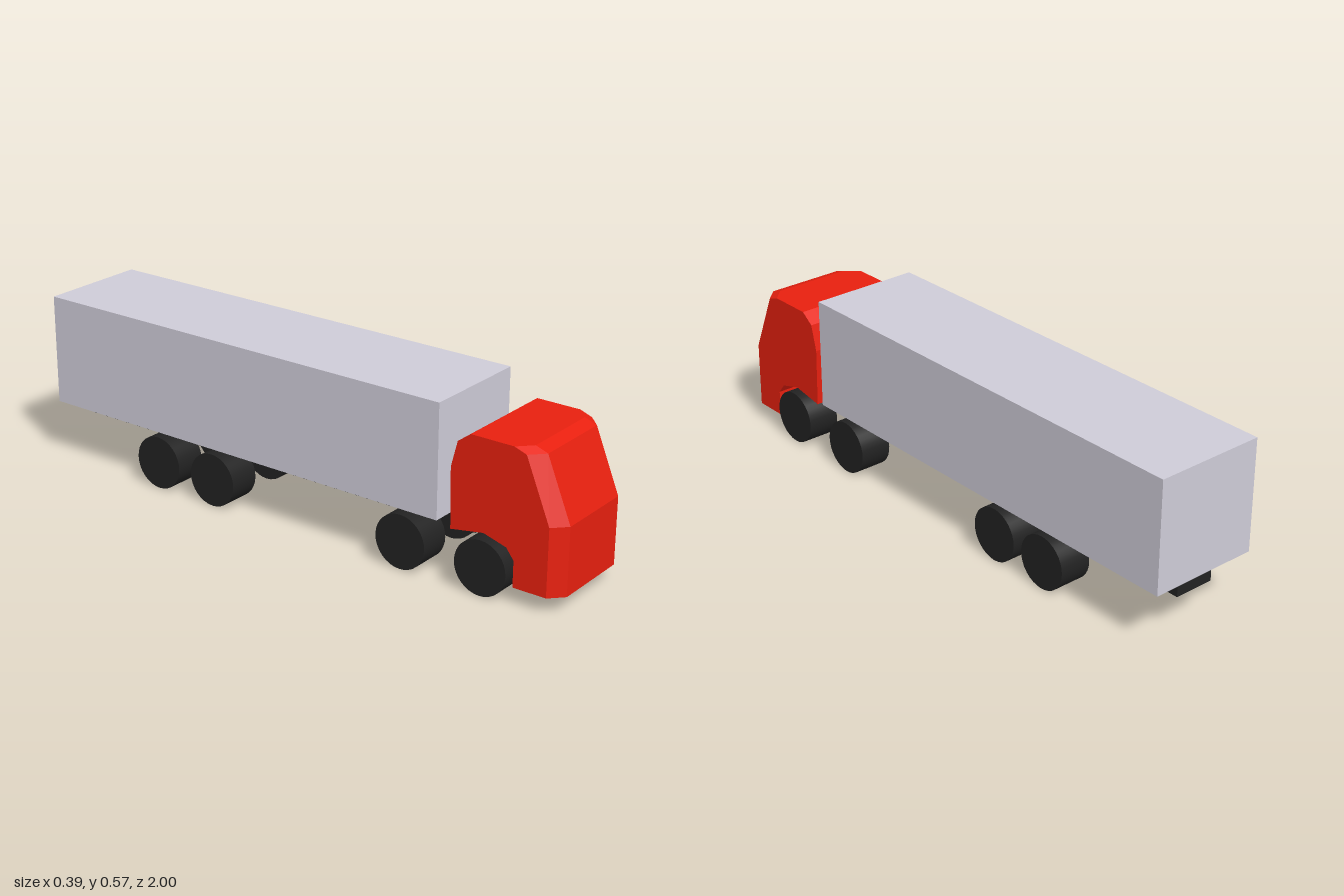
import * as THREE from 'three';

const material = (color) => new THREE.MeshStandardMaterial({ color });
const red = material(0xe8200f);
const grey = material(0xcfccd8);
const black = material(0x222222);

// Side profile of [z, y] points swept across the width; front faces +z
function sweep(points, width, steps = 1) {
  const shape = new THREE.Shape(points.map(([z, y]) => new THREE.Vector2(-z, y)));
  const geometry = new THREE.ExtrudeGeometry(shape, { depth: width, steps, bevelEnabled: false });
  return geometry.translate(0, 0, -width / 2).rotateY(Math.PI / 2);
}

function addMesh(parent, name, geometry, mat) {
  const mesh = new THREE.Mesh(geometry, mat);
  mesh.name = name;
  parent.add(mesh);
  return mesh;
}

function cabGeometry() {
  const geometry = sweep([
    [1, 0.055], [1, 0.28], [0.915, 0.485], [0.873, 0.5],
    [0.68, 0.5], [0.636, 0.467], [0.614, 0.38], [0.618, 0.18],
    [0.735, 0.2], [0.815, 0.177], [0.842, 0.142], [0.842, 0.055],
  ], 0.36, 3);
  // Chamfer the front corners: widen the middle stations, set the outer ones back
  const p = geometry.attributes.position;
  for (let i = 0; i < p.count; i++) {
    const x = p.getX(i);
    if (Math.abs(x) < 0.1) p.setX(i, Math.sign(x) * 0.135);
    else if (p.getZ(i) > 0.86) p.setZ(i, p.getZ(i) - 0.043);
  }
  geometry.computeVertexNormals();
  return geometry;
}

export function createModel() {
  const truck = new THREE.Group();
  truck.name = 'truck';

  addMesh(truck, 'cab', cabGeometry(), red);

  // Cargo box
  addMesh(truck, 'cargoBox', new THREE.BoxGeometry(0.38, 0.377, 1.575), grey)
    .position.set(0, 0.3865, -0.2125);

  // Chassis beam with a tapered nose under the cab
  addMesh(truck, 'chassis', sweep([
    [0.72, 0.198], [0.72, 0.185], [0.635, 0.13], [-0.965, 0.13], [-0.965, 0.198],
  ], 0.14), black);

  // Four pairs of wheels
  const wheel = new THREE.CylinderGeometry(0.091, 0.091, 0.112, 32).rotateZ(Math.PI / 2);
  for (const side of [1, -1]) {
    const rear = side > 0 ? -0.523 : -0.54;
    [0.735, 0.445, -0.307, rear].forEach((z, i) => {
      addMesh(truck, `${side > 0 ? 'left' : 'right'}Wheel${i + 1}`, wheel, black)
        .position.set(side * 0.139, 0.091, z);
    });
  }
  return truck;
}
